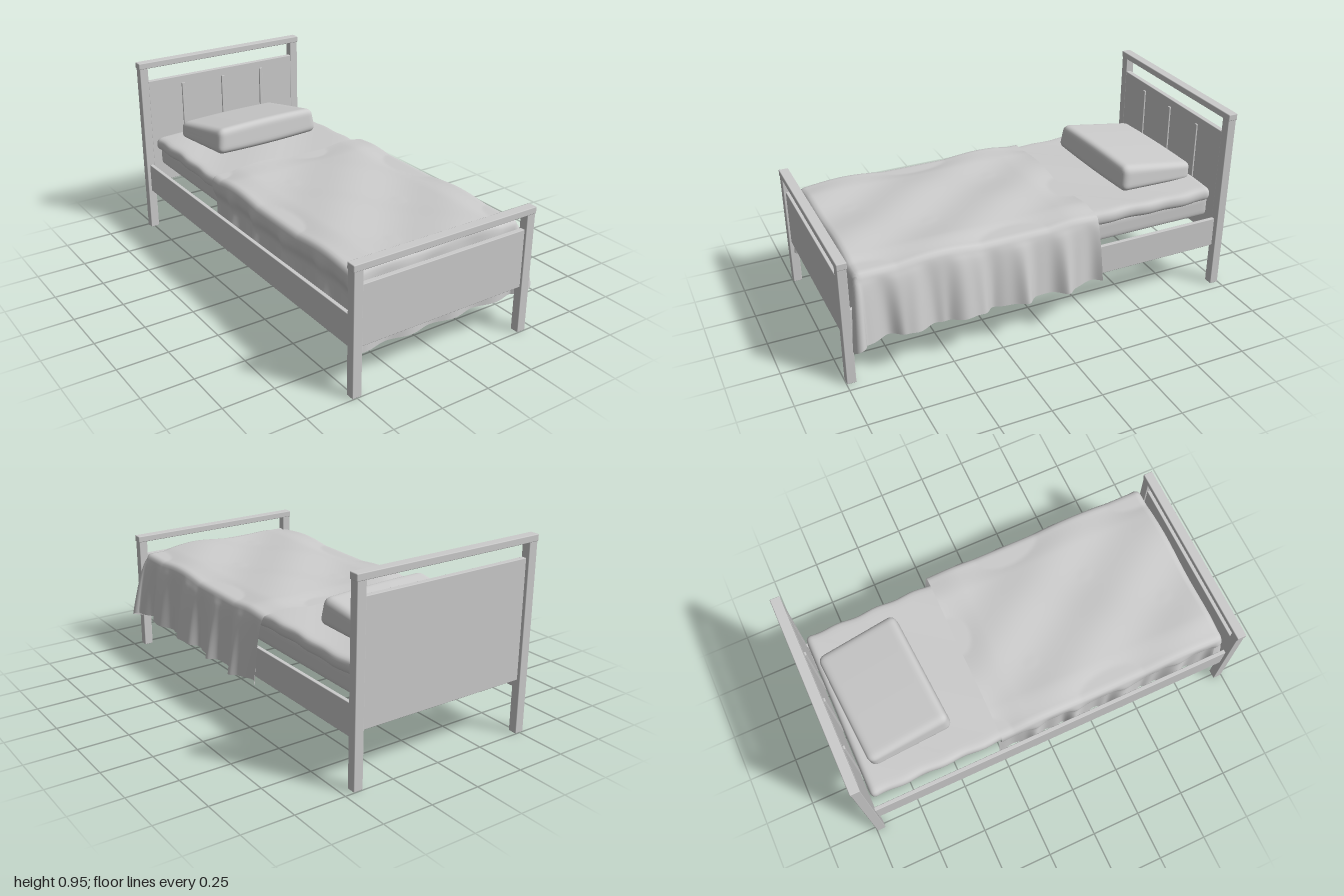
import * as THREE from 'three';
import { mergeVertices } from 'three/addons/utils/BufferGeometryUtils.js';
import { RoundedBoxGeometry } from 'three/addons/geometries/RoundedBoxGeometry.js';

const grey = new THREE.MeshStandardMaterial({ color: 0xcccccc });
grey.name = 'plain grey';
grey.side = THREE.DoubleSide;

function add(parent, name, geometry, x = 0, y = 0, z = 0) {
  const mesh = new THREE.Mesh(geometry, grey);
  mesh.name = name;
  mesh.position.set(x, y, z);
  parent.add(mesh);
  return mesh;
}

// Box given by its limits, with a small bevel
function board(parent, name, x0, x1, y0, y1, z0, z1, bevel = 0.003) {
  const geometry = new RoundedBoxGeometry(x1 - x0, y1 - y0, z1 - z0, 1, bevel);
  return add(parent, name, geometry, (x0 + x1) / 2, (y0 + y1) / 2, (z0 + z1) / 2);
}

// Smooth padded box; warp(v) can shift each rounded vertex
function softBox(w, h, d, r, segs, warp) {
  const box = new THREE.BoxGeometry(2, 2, 2, ...segs);
  box.deleteAttribute('uv');
  box.deleteAttribute('normal');
  const geometry = mergeVertices(box);
  const p = geometry.attributes.position;
  const half = new THREE.Vector3(w / 2, h / 2, d / 2);
  const inner = half.clone().subScalar(r);
  const v = new THREE.Vector3(), core = new THREE.Vector3();
  for (let i = 0; i < p.count; i++) {
    v.fromBufferAttribute(p, i);
    // Crowd the vertices towards the edges, then round them off
    v.set(Math.sin(v.x * Math.PI / 2), Math.sin(v.y * Math.PI / 2), Math.sin(v.z * Math.PI / 2)).multiply(half);
    core.copy(v).clamp(inner.clone().negate(), inner);
    v.sub(core).setLength(r).add(core);
    if (warp) warp(v);
    p.setXYZ(i, v.x, v.y, v.z);
  }
  geometry.computeVertexNormals();
  return geometry;
}

// Blanket: a grid draped over three edges of the mattress
function blanketGeometry() {
  const xMin = -0.445, xMax = 0.41, zMin = -0.272, zMax = 0.895, r = 0.03;
  const side = 22, top = 70, length = 130;
  const columns = 2 * side + top, rows = length + side;
  const positions = [], index = [];
  for (let i = 0; i <= columns; i++) {
    const cx = THREE.MathUtils.lerp(xMin, xMax, THREE.MathUtils.clamp((i - side) / top, 0, 1));
    const a = Math.max(0, side - i, i - side - top) / side;
    const sign = i < side ? -1 : 1;
    for (let j = 0; j <= rows; j++) {
      const cz = THREE.MathUtils.lerp(zMin, zMax, Math.min(1, j / length));
      const b = Math.max(0, j - length) / side;
      const hang = Math.max(a, b);
      const angle = Math.atan2(b, a);
      const ox = hang ? Math.cos(angle) : 0, oz = hang ? Math.sin(angle) : 0;
      const corner = Math.sin(2 * angle);
      const k = Math.min(1, hang / 0.15) * Math.PI / 2;
      const q = Math.max(0, (hang - 0.15) / 0.85);

      // Shallow quilting on the top, falling towards the long edges and the turn-down
      const lift = Math.max(0.543, 0.557
        + 0.008 * Math.sin(9 * cx + 8 * cz) + 0.007 * Math.sin(13 * cx - 9 * cz + 1)
        - 0.012 * THREE.MathUtils.smoothstep(Math.abs(cx + 0.018), 0.3, 0.43)
        - 0.008 * THREE.MathUtils.smoothstep(-cz, 0.12, 0.27));

      // Pleats deepen towards the hem; on the right the cloth tucks in behind the rail
      const wave = Math.sin((cz + 0.17) * 24.5 + 0.6 * Math.sin(cz * 7));
      const peak = Math.pow(0.5 + 0.5 * wave, 3);
      const spread = Math.pow(q, sign > 0 ? 0.65 : 0.8);
      const flareX = sign > 0
        ? spread * (0.05 + 0.023 * wave + 0.006 * Math.sin(cz * 61) + 0.045 * corner)
        : spread * (0.055 * peak + 0.004 * Math.sin(cz * 70))
          - 0.025 * THREE.MathUtils.smoothstep(q, 0.1, 0.35);
      const flareZ = spread * (0.014 + 0.011 * Math.sin(cx * 26) + 0.045 * corner);
      const round = r * Math.sin(k);
      const x = cx + sign * ox * (round + flareX);
      const z = cz + oz * (round + flareZ) + 0.01 * q * ox * Math.sin(cz * 30);
      const hem = THREE.MathUtils.lerp(0.22, 0.172, oz * oz) + 0.004 * Math.sin(cz * 20) * ox;
      const y = THREE.MathUtils.lerp(lift - r * (1 - Math.cos(k)), hem, q);
      positions.push(x, y, z);
      if (i < columns && j < rows) {
        const n = i * (rows + 1) + j, m = n + rows + 1;
        index.push(n, n + 1, m, n + 1, m + 1, m);
      }
    }
  }
  const geometry = new THREE.BufferGeometry();
  geometry.setAttribute('position', new THREE.Float32BufferAttribute(positions, 3));
  geometry.setIndex(index);
  geometry.computeVertexNormals();
  return geometry;
}

export function createModel() {
  const bed = new THREE.Group();
  bed.name = 'bed';

  // Wooden frame: posts and top rails at both ends
  const frame = new THREE.Group();
  frame.name = 'frame';
  bed.add(frame);
  for (const [end, z, height] of [['head', -0.976, 0.92], ['foot', 0.976, 0.6]]) {
    for (const x of [-0.499, 0.432])
      board(frame, end + 'Post', x - 0.023, x + 0.023, 0, height, z - 0.022, z + 0.022);
    board(frame, end + 'TopRail', -0.526, 0.459, height - 0.003, height + 0.03, z - 0.024, z + 0.024, 0.004);
  }

  // Panels and headboard slats
  board(frame, 'headPanel', -0.478, 0.411, 0.265, 0.845, -0.982, -0.955);
  board(frame, 'footPanel', -0.478, 0.411, 0.235, 0.525, 0.962, 0.987);
  for (const x of [-0.277, -0.035, 0.208])
    board(frame, 'headSlat', x - 0.009, x + 0.009, 0.265, 0.805, -0.957, -0.947, 0.002);

  // Side rails
  for (const x of [-0.495, 0.42])
    board(frame, 'sideRail', x - 0.01, x + 0.01, 0.22, 0.373, -0.955, 0.955);

  // Mattress and the rumpled sheet over it
  add(bed, 'mattress', softBox(0.835, 0.11, 1.85, 0.022, [20, 10, 40]), -0.028, 0.433, -0.01);
  const rumple = (v) => {
    v.x += Math.sign(v.x) * 0.004 * Math.sin(v.z * 31) * Math.min(1, Math.abs(v.x) / 0.4);
    v.y += 0.004 * Math.sin(v.x * 12 + v.z * 9);
  };
  add(bed, 'sheet', softBox(0.876, 0.072, 1.86, 0.033, [30, 10, 90], rumple), -0.033, 0.501, -0.01);

  // Pillow, thinner at the back and tilted up at the front
  const plump = (v) => {
    const back = THREE.MathUtils.clamp(0.5 - v.z / 0.42, 0, 1);
    v.y *= 1 - 0.36 * back;
    v.x *= 1 - 0.45 * v.y + 0.06 * v.z;
    v.y += 0.006 * Math.cos(v.x * 5) * Math.sign(v.y);
  };
  const pillow = add(bed, 'pillow', softBox(0.6, 0.132, 0.42, 0.035, [36, 16, 28], plump), -0.034, 0.593, -0.69);
  pillow.rotation.set(-0.12, 0.06, 0);

  add(bed, 'blanket', blanketGeometry());
  return bed;
}
